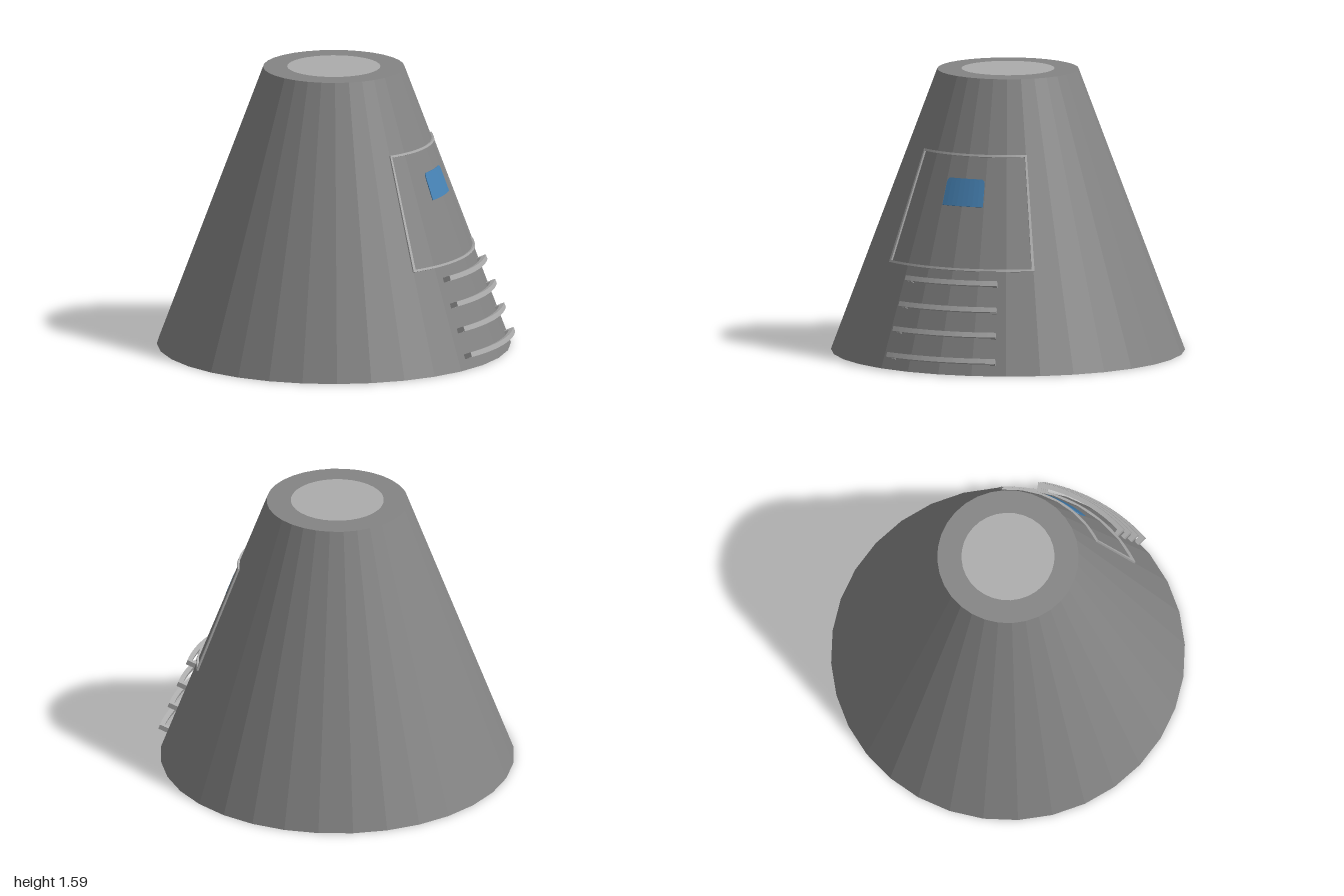
import * as THREE from 'three';

const H = 1.585, R_BASE = 0.988, R_TOP = 0.395, SIDES = 32;
const SLOPE = (R_BASE - R_TOP) / H;
const TILT = Math.atan(SLOPE);
const DEG = Math.PI / 180;

const material = (name, color) => {
  const m = new THREE.MeshStandardMaterial({ color });
  m.name = name;
  return m;
};

// Wraps a box onto the cone: angle a (0 = +x), height y, offset along the surface normal.
function wrapped(name, mat, [a0, a1], [y0, y1], [d0, d1], { segs = 1, rows = 1, round = 0 } = {}) {
  const box = new THREE.BoxGeometry(1, 1, 1, segs, rows, 1);
  const p = box.attributes.position;
  for (let i = 0; i < p.count; i++) {
    const v = p.getY(i) + 0.5;
    let u = p.getX(i);
    // rounded upper corners
    const t = Math.max(0, (v - (1 - round)) / (round || 1));
    u *= 1 - 0.14 * (1 - Math.sqrt(Math.max(0, 1 - t * t))) * (round ? 1 : 0);
    const a = (a0 + a1) / 2 + u * (a1 - a0);
    const d = d0 + (p.getZ(i) + 0.5) * (d1 - d0);
    const y = y0 + v * (y1 - y0);
    const r = R_BASE - SLOPE * y + d * Math.cos(TILT);
    p.setXYZ(i, r * Math.cos(a), y + d * Math.sin(TILT), -r * Math.sin(a));
  }
  const g = box.toNonIndexed();
  g.computeVertexNormals();
  const mesh = new THREE.Mesh(g, mat);
  mesh.name = name;
  return mesh;
}

export function createModel() {
  const hullGray = material('hullGray', 0x848484);
  const lightGray = material('lightGray', 0xacacac);
  const glassBlue = material('glassBlue', 0x4682b4);
  const undersideDark = material('undersideDark', 0x14081a);

  const model = new THREE.Group();
  model.name = 'capsule';

  // Faceted conical hull with a dark underside
  const cone = new THREE.CylinderGeometry(R_TOP, R_BASE, H, SIDES).toNonIndexed();
  cone.computeVertexNormals();
  const hull = new THREE.Mesh(cone, [hullGray, hullGray, undersideDark]);
  hull.name = 'hull';
  hull.position.y = H / 2;
  model.add(hull);

  // Flush disc on the flat top
  const disc = new THREE.Mesh(new THREE.CircleGeometry(0.26, SIDES), lightGray);
  disc.name = 'topDisc';
  disc.rotation.x = -Math.PI / 2;
  disc.position.y = H + 0.002;
  model.add(disc);

  // Hatch outline: two curved rails and two straight posts
  const hatch = new THREE.Group();
  hatch.name = 'hatchFrame';
  const A = 33.5 * DEG, w = 0.012, depth = [-0.015, 0.01];
  for (const [name, y] of [['hatchSill', 0.557], ['hatchHeader', 1.167]])
    hatch.add(wrapped(name, lightGray, [-A, A], [y, y + w], depth, { segs: 24 }));
  for (const s of [-1, 1])
    hatch.add(wrapped('hatchPost', lightGray, [s * A - 0.01, s * A + 0.01], [0.557, 1.179], depth));
  model.add(hatch);

  // Window with rounded upper corners
  model.add(wrapped('window', glassBlue, [-10.8 * DEG, 10.8 * DEG], [0.9, 1.048], [-0.004, 0.004],
    { segs: 8, rows: 14, round: 0.2 }));

  // Four curved ladder rungs on short feet
  const ladder = new THREE.Group();
  ladder.name = 'ladder';
  for (const y of [0.07, 0.21, 0.345, 0.485]) {
    const a = 19 * DEG, foot = 0.03;
    ladder.add(wrapped('rung', lightGray, [-a, a], [y - 0.012, y + 0.014], [0.024, 0.05], { segs: 14 }));
    for (const s of [-1, 1]) {
      const c = s * (a - foot / 2);
      ladder.add(wrapped('rungFoot', lightGray, [c - foot / 2, c + foot / 2],
        [y - 0.013, y + 0.013], [-0.02, 0.026]));
    }
  }
  model.add(ladder);

  for (const part of model.children) part.position.x -= 0.011;
  return model;
}
